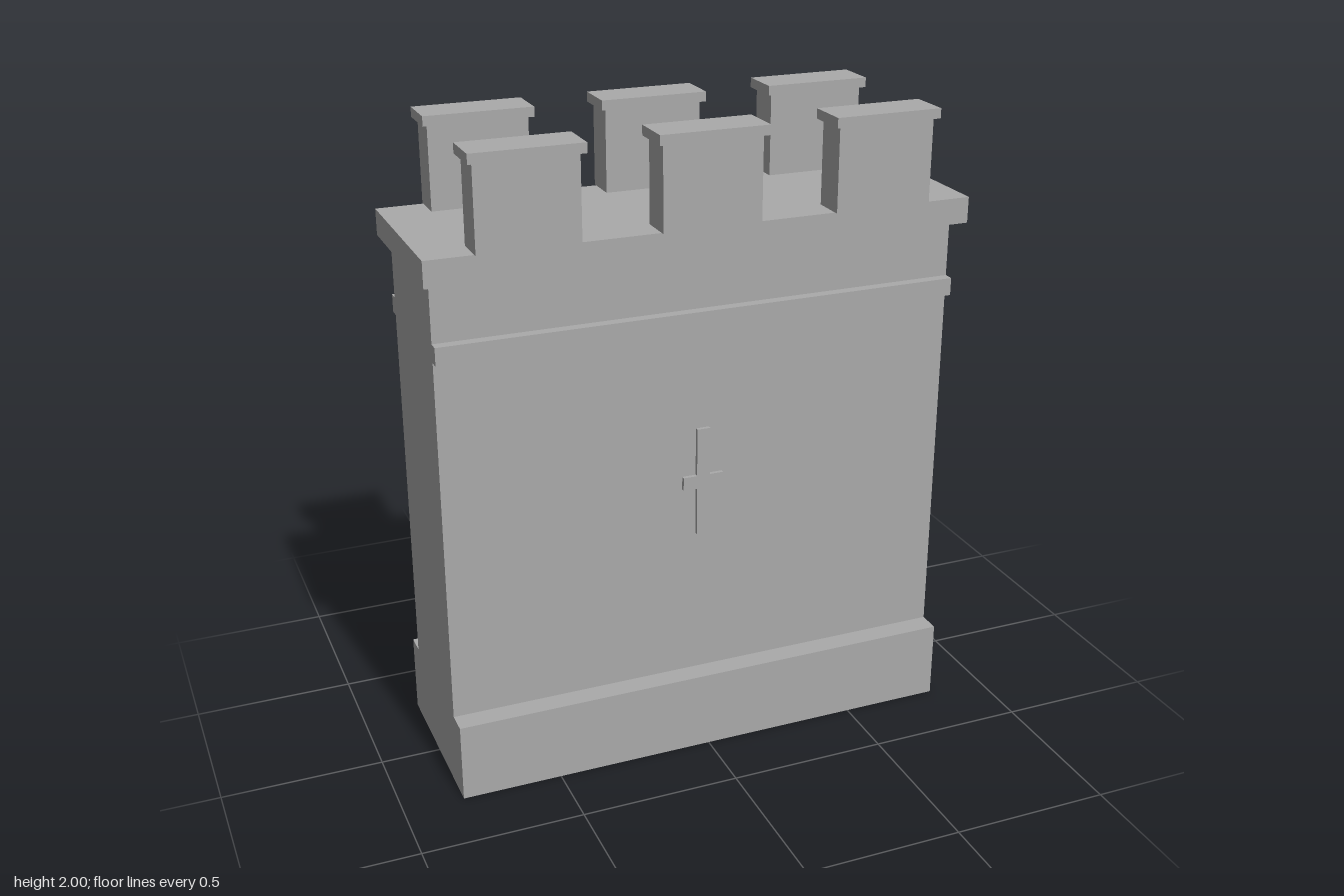
import * as THREE from 'three';

export function createModel() {
  const model = new THREE.Group();
  model.name = 'battlementWall';
  const stone = new THREE.MeshStandardMaterial({ color: 0xaaaaaa });
  stone.name = 'grey stone';

  // Box given by its centre in x and z, its bottom and its top
  function block(name, parent, width, bottom, top, depth, x = 0, z = 0) {
    const mesh = new THREE.Mesh(new THREE.BoxGeometry(width, top - bottom, depth), stone);
    mesh.name = name;
    mesh.position.set(x, (bottom + top) / 2, z);
    parent.add(mesh);
    return mesh;
  }

  // Plinth, wall and overhanging walkway slab
  const width = 1.626, wallZ = 0.215;
  block('plinth', model, width, 0, 0.25, 0.57);
  block('wall', model, width, 0.25, 1.635, wallZ * 2);
  block('walkwaySlab', model, 1.68, 1.635, 1.715, 0.545);

  // Cross outline for the arrow slit, centred on x = 0
  const arm = 0.065, half = 0.021;
  const cross = new THREE.Shape([
    [-half, 0.725], [half, 0.725], [half, 0.88], [arm, 0.88], [arm, 0.922], [half, 0.922],
    [half, 1.075], [-half, 1.075], [-half, 0.922], [-arm, 0.922], [-arm, 0.88], [-half, 0.88],
  ].map(([x, y]) => new THREE.Vector2(x, y)));
  const crossGeometry = new THREE.ExtrudeGeometry(cross, { depth: 0.012, bevelEnabled: false });

  // Each long face: string course, arrow slit and three capped merlons
  for (const side of ['front', 'back']) {
    const face = new THREE.Group();
    face.name = side + 'Face';
    if (side === 'back') face.rotation.y = Math.PI;
    model.add(face);

    block('stringCourse', face, width, 1.4, 1.455, 0.032, 0, wallZ + 0.016);

    const slit = new THREE.Mesh(crossGeometry, stone);
    slit.name = 'arrowSlitCross';
    slit.position.z = wallZ;
    face.add(slit);

    for (const x of [-0.543, 0, 0.543]) {
      const merlon = new THREE.Group();
      merlon.name = 'merlon';
      merlon.position.set(x, 0, 0.232);
      face.add(merlon);
      block('merlonBody', merlon, 0.304, 1.715, 1.97, 0.106);
      block('merlonCap', merlon, 0.334, 1.97, 2, 0.134);
    }
  }
  return model;
}
